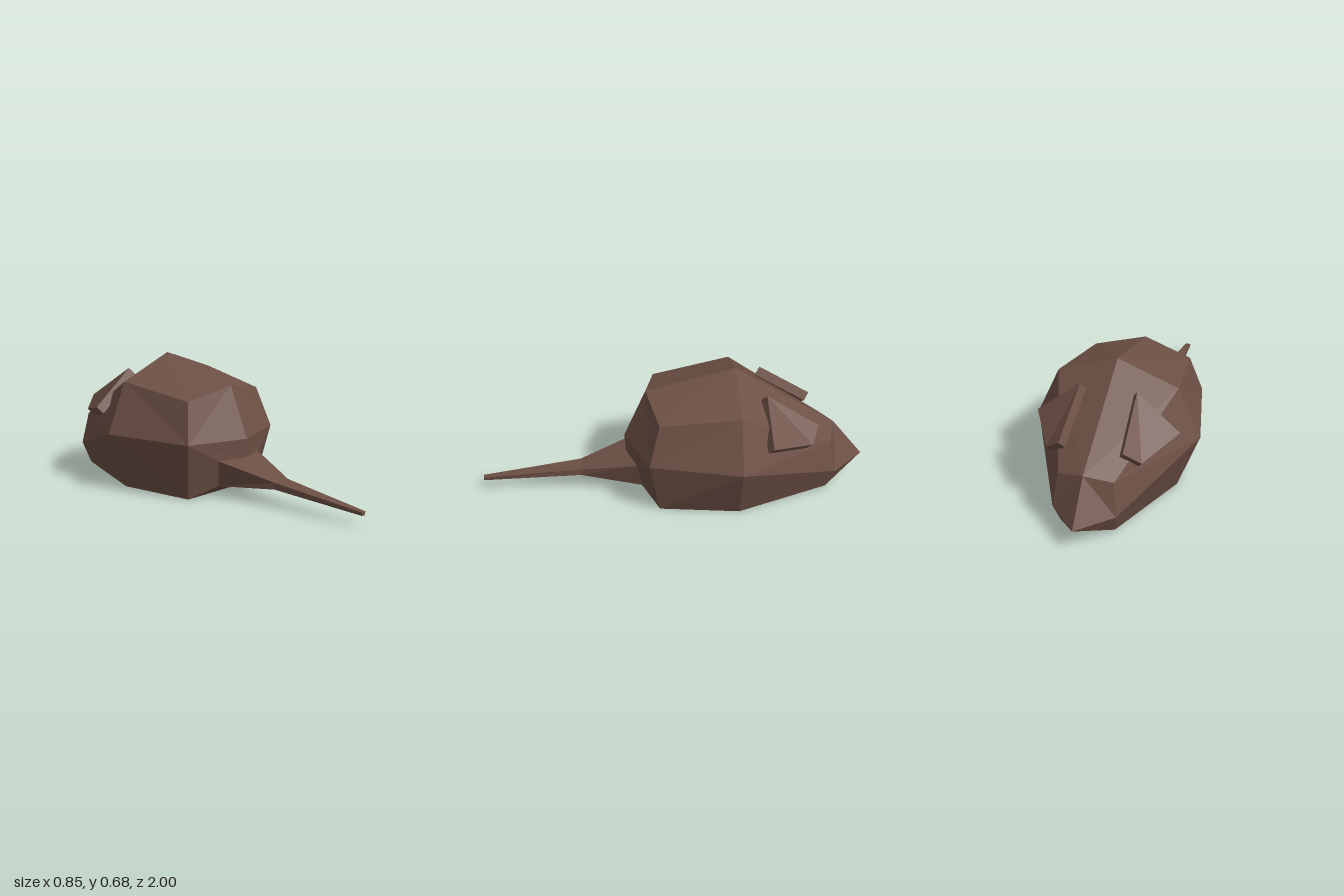
import * as THREE from 'three';

const fur = new THREE.MeshStandardMaterial({ color: 0x6d5045 });
fur.name = 'brown fur';
const underside = new THREE.MeshStandardMaterial({ color: 0xa9aca2 });
underside.name = 'grey underside';

// Builds flat-faced polygons, each turned to face away from the inner point.
function facetMesh(name, polygons, inner, material) {
  const positions = [];
  const centre = new THREE.Vector3(...inner);
  for (const polygon of polygons) {
    const p = polygon.map(c => new THREE.Vector3(...c));
    for (let i = 1; i < p.length - 1; i++) {
      const tri = [p[0], p[i], p[i + 1]];
      const normal = tri[1].clone().sub(tri[0]).cross(tri[2].clone().sub(tri[0]));
      if (normal.dot(tri[0].clone().sub(centre)) < 0) tri.reverse();
      tri.forEach(v => positions.push(v.x, v.y, v.z));
    }
  }
  const geometry = new THREE.BufferGeometry();
  geometry.setAttribute('position', new THREE.Float32BufferAttribute(positions, 3));
  geometry.computeVertexNormals();
  const mesh = new THREE.Mesh(geometry, material);
  mesh.name = name;
  return mesh;
}

const flip = ([x, y, z]) => [-x, y, z];
const mirrored = polygons => [...polygons, ...polygons.map(p => p.map(flip))];

// Quads between two half or whole cross-sections.
function strips(a, b) {
  return a.slice(1).map((_, i) => [a[i], a[i + 1], b[i + 1], b[i]]);
}

export function createModel() {
  const group = new THREE.Group();
  group.name = 'mouse';

  // Half cross-sections: ridge, shoulder, side, bottom edge
  const head = [[0, 0.325, -0.84], [0.14, 0.29, -0.8], [0.16, 0.12, -0.835], [0.138, 0.012, -0.79]];
  const middle = [[0, 0.675, -0.315], [0.31, 0.56, -0.315], [0.425, 0.3, -0.315], [0.31, 0, -0.315]];
  const rear = [[0, 0.56, 0.145], [0.255, 0.505, 0.09], [0.31, 0.3, 0.145], [0.255, 0, 0.09]];
  const nose = [0, 0.12, -1];
  const chin = [0, 0.015, -0.84];
  const rump = [0, 0.3, 0.257];

  // Tail sections: upper and lower corners
  const tailBase = [[0.148, 0.2, 0.2], [0.122, 0.06, 0.175]];
  const tailMiddle = [[0.05, 0.125, 0.49], [0.05, 0.09, 0.49]];
  const tailTip = [[0.014, 0.075, 1], [0.011, 0.057, 1]];
  const tailTop = [0, 0.2, 0.25];

  // Body with its nose and rump
  group.add(facetMesh('body', mirrored([
    ...strips(head, middle),
    ...strips(middle, rear),
    [head[0], head[1], head[2], nose],
    [nose, head[2], head[3], chin],
    [rear[0], rear[1], rear[2], rump],
    [rear[2], rump, tailTop, tailBase[0]],
    [rear[2], tailBase[0], tailBase[1], rear[3]],
    [[0, 0.06, 0.175], tailBase[1], rear[3], [0, 0, 0.09]],
  ]), [0, 0.25, -0.3], fur));

  // Flat belly
  group.add(facetMesh('belly', mirrored([
    [[0, 0, -0.315], chin, head[3], middle[3]],
    [[0, 0, -0.315], middle[3], rear[3], [0, 0, 0.09]],
  ]), [0, 0.3, -0.3], underside));

  // Tapered tail
  const ring = ([up, low]) => [up, low, flip(low), flip(up), up];
  group.add(facetMesh('tail', [
    ...strips(ring(tailBase), ring(tailMiddle)),
    ...strips(ring(tailMiddle), ring(tailTip)),
    ring(tailTip).slice(0, 4),
    [tailBase[0], tailTop, flip(tailBase[0])],
  ], [0, 0.11, 0.4], fur));

  // Ears: slanted slabs on the head
  const top = [[0.145, 0.59, -0.46], [0.365, 0.41, -0.472], [0.24, 0.347, -0.69], [0.16, 0.41, -0.73]];
  const base = top.map(([x, y, z]) => [x - 0.024, y - 0.034, z + 0.025]);
  const slab = [top, base, ...strips([...top, top[0]], [...base, base[0]])];
  group.add(facetMesh('leftEar', slab, [0.215, 0.422, -0.575], fur));
  group.add(facetMesh('rightEar', slab.map(p => p.map(flip)), [-0.215, 0.422, -0.575], fur));

  return group;
}
